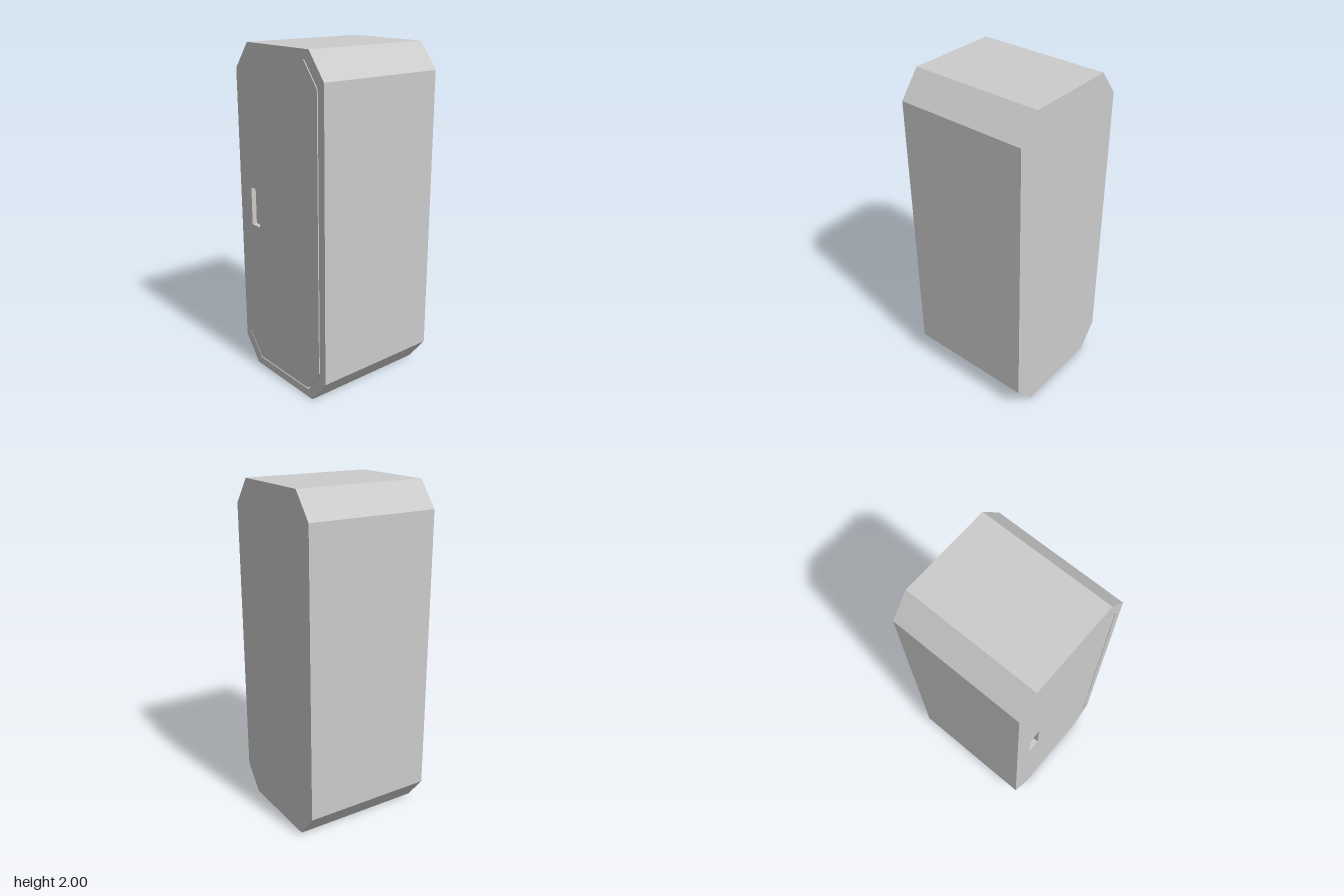
import * as THREE from 'three';

const material = new THREE.MeshStandardMaterial({ color: 0xcccccc });

// Eight-sided outline: a rectangle with its corners cut by cx and cy
function octagon(x0, x1, y0, y1, cx, cy, Type = THREE.Shape) {
  return new Type([
    [x0 + cx, y0], [x1 - cx, y0], [x1, y0 + cy], [x1, y1 - cy],
    [x1 - cx, y1], [x0 + cx, y1], [x0, y1 - cy], [x0, y0 + cy],
  ].map(([x, y]) => new THREE.Vector2(x, y)));
}

// Extrudes a shape between two depths
function slab(name, shape, zBack, zFront) {
  const geometry = new THREE.ExtrudeGeometry(shape, { depth: zFront - zBack, bevelEnabled: false });
  geometry.translate(0, 0, zBack);
  const mesh = new THREE.Mesh(geometry, material);
  mesh.name = name;
  return mesh;
}

export function createModel() {
  const model = new THREE.Group();
  model.name = 'locker';

  // Hollow cabinet: tube-like shell closed by a back wall
  const outline = () => octagon(-0.4, 0.4, 0, 2, 0.122, 0.152);
  const shell = outline();
  shell.holes.push(octagon(-0.35, 0.35, 0.05, 1.95, 0.11, 0.14, THREE.Path));
  model.add(slab('cabinetShell', shell, -0.35, 0.4));
  model.add(slab('backWall', outline(), -0.4, -0.35));

  // Door, flush with the front, leaving a thin gap on the hinge side and below
  const door = new THREE.Group();
  door.name = 'door';
  const doorOutline = () => octagon(-0.35, 0.342, 0.056, 1.95, 0.11, 0.14);
  const face = doorOutline();
  face.holes.push(new THREE.Path([
    [-0.29, 0.93], [-0.21, 0.93], [-0.21, 1.16], [-0.29, 1.16],
  ].map(([x, y]) => new THREE.Vector2(x, y))));
  door.add(slab('doorFace', face, 0.37, 0.4));
  door.add(slab('doorBack', doorOutline(), 0.35, 0.37)); // floor of the handle recess
  model.add(door);

  // Small hinges bridging the gap
  for (const y of [0.705, 1.335]) {
    const hinge = new THREE.Mesh(new THREE.BoxGeometry(0.012, 0.05, 0.02), material);
    hinge.name = 'hinge';
    hinge.position.set(0.346, y, 0.375);
    model.add(hinge);
  }

  return model;
}
